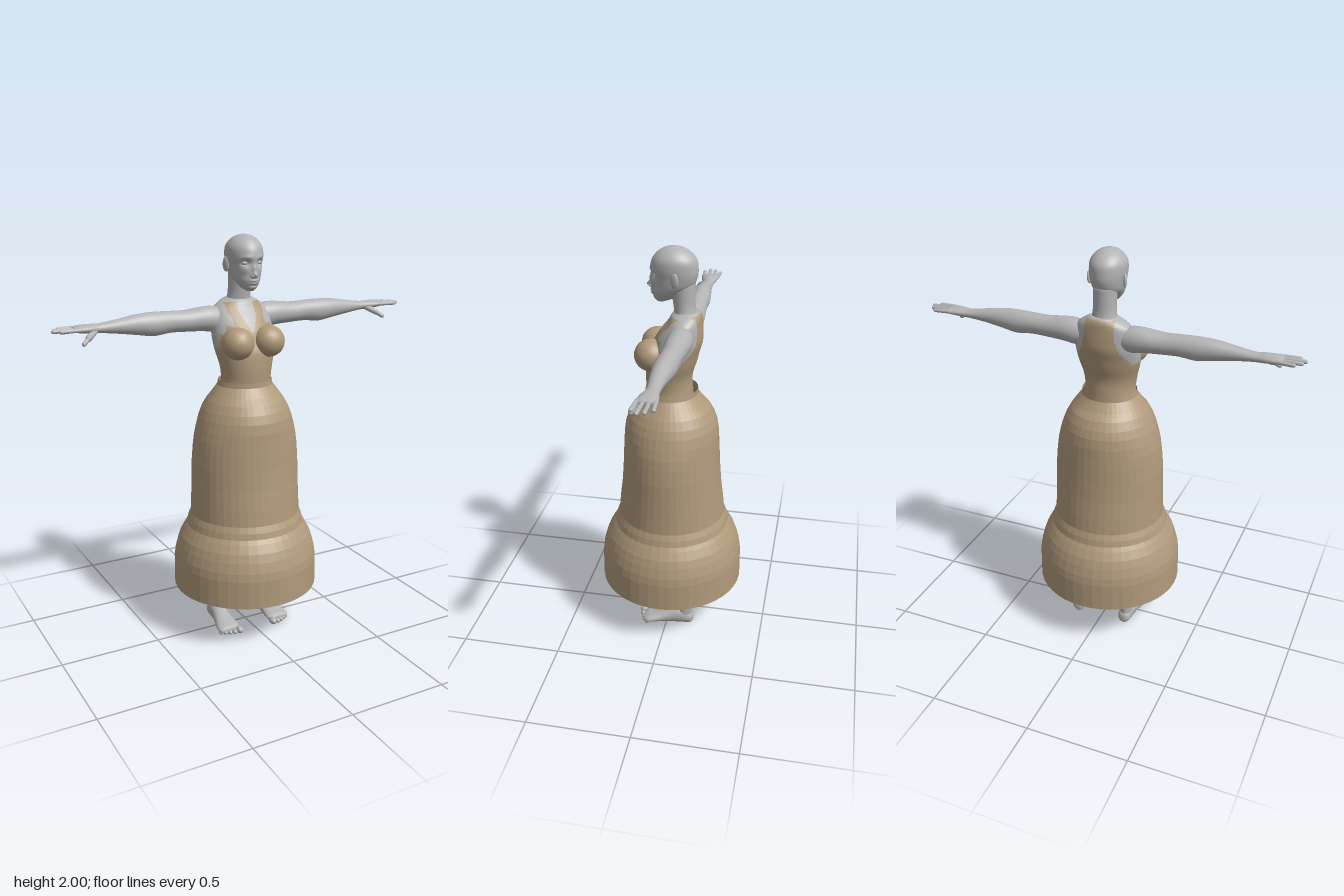
import * as THREE from 'three';

const skin = new THREE.MeshStandardMaterial({ color: 0xb4b4b4 });
skin.name = 'skin grey';
const cloth = new THREE.MeshStandardMaterial({ color: 0xb09a7b, side: THREE.DoubleSide });
cloth.name = 'dress tan';

// Elliptical rings along an axis; row = [t, centreA, centreB, radiusA, radiusB].
// Axis order: y uses (z, x), x uses (y, z), z uses (x, y).
function loft(axis, rows, { n = 32, sub = 5, caps = true, shape } = {}) {
  const place = {
    y: (t, a, b) => new THREE.Vector3(b, t, a),
    x: (t, a, b) => new THREE.Vector3(t, a, b),
    z: (t, a, b) => new THREE.Vector3(a, b, t),
  }[axis];
  const at = (i) => rows[Math.min(Math.max(i, 0), rows.length - 1)];
  const rings = [];
  for (let i = 0; i < rows.length - 1; i++) {
    for (let s = 0; s < sub; s++) {
      const f = s / sub;
      rings.push(at(i).map((p1, k) => {
        const p0 = at(i - 1)[k], p2 = at(i + 1)[k], p3 = at(i + 2)[k];
        return p1 + 0.5 * f * (p2 - p0 + f * (2 * p0 - 5 * p1 + 4 * p2 - p3 + f * (3 * (p1 - p2) + p3 - p0)));
      }));
    }
  }
  rings.push(at(rows.length - 1));
  const pos = [], index = [];
  const put = (v) => { if (shape) shape(v); pos.push(v.x, v.y, v.z); };
  rings.forEach(([t, a, b, ra, rb], j) => {
    for (let i = 0; i < n; i++) {
      const q = (i / n) * Math.PI * 2;
      put(place(t, a + ra * Math.cos(q), b + rb * Math.sin(q)));
      if (j === 0) continue;
      const k = (i + 1) % n, lo = (j - 1) * n, hi = j * n;
      index.push(lo + i, lo + k, hi + k, lo + i, hi + k, hi + i);
    }
  });
  if (caps) {
    const last = rings.length - 1, c = rings.length * n;
    put(place(...rings[0].slice(0, 3)));
    put(place(...rings[last].slice(0, 3)));
    for (let i = 0; i < n; i++) {
      const k = (i + 1) % n;
      index.push(c, k, i, c + 1, last * n + i, last * n + k);
    }
  }
  const g = new THREE.BufferGeometry();
  g.setAttribute('position', new THREE.Float32BufferAttribute(pos, 3));
  g.setIndex(index);
  g.computeVertexNormals();
  return g;
}

// Sorts faces into two material groups: 0 where test is true, 1 elsewhere
function splitFaces(g, test) {
  const p = g.attributes.position, idx = g.index.array, parts = [[], []];
  for (let i = 0; i < idx.length; i += 3) {
    const f = [idx[i], idx[i + 1], idx[i + 2]];
    const mid = (get) => f.reduce((s, v) => s + p[get](v), 0) / 3;
    parts[test(mid('getX'), mid('getY'), mid('getZ')) ? 0 : 1].push(...f);
  }
  g.setIndex([...parts[0], ...parts[1]]);
  g.addGroup(0, parts[0].length, 0);
  g.addGroup(parts[0].length, parts[1].length, 1);
  return g;
}

function mirrorX(g) {
  const m = g.clone().scale(-1, 1, 1), a = m.index.array;
  for (let i = 0; i < a.length; i += 3) [a[i], a[i + 1]] = [a[i + 1], a[i]];
  m.computeVertexNormals();
  return m;
}

const ball = (x, y, z, rx, ry, rz) =>
  new THREE.SphereGeometry(1, 28, 18).scale(rx, ry, rz).translate(x, y, z);

// Rounded rod between two points
function rod(from, to, r) {
  const a = new THREE.Vector3(...from), b = new THREE.Vector3(...to), d = b.clone().sub(a);
  const turn = new THREE.Quaternion().setFromUnitVectors(new THREE.Vector3(0, 1, 0), d.clone().normalize());
  const mid = a.add(b).multiplyScalar(0.5);
  return new THREE.CapsuleGeometry(r, d.length(), 5, 12).applyQuaternion(turn).translate(mid.x, mid.y, mid.z);
}

// Facial relief as soft bumps: [x, y, width, height, push]
const relief = [
  [0, 1.818, 0.011, 0.012, 0.022], [0, 1.845, 0.010, 0.022, 0.011],
  [0.036, 1.873, 0.018, 0.013, -0.016], [0.035, 1.9, 0.022, 0.008, 0.004],
  [0, 1.792, 0.018, 0.005, 0.008], [0, 1.779, 0.015, 0.005, 0.007],
  [0, 1.768, 0.02, 0.005, -0.005], [0.04, 1.84, 0.016, 0.016, 0.004],
];
function face(v) {
  if (v.z < 0.02) return;
  const ax = Math.abs(v.x), y = v.y;
  for (const [x, cy, w, h, push] of relief)
    v.z += push * Math.exp(-(((ax - x) / w) ** 2) - ((y - cy) / h) ** 2);
}

// Bodice outline: waist band, open neck with straps, tapering back panel
function isBodice(x, y, z) {
  const ax = Math.abs(x);
  if (y < 1.2) return false;
  if (y < 1.47) return true;
  if (z < -0.07) return y < 1.692 && ax < 0.072 + 0.08 * ((1.7 - y) / 0.23) ** 3;
  if (z < -0.045) return false;
  if (y < 1.54) return z > 0.02;
  const inner = Math.min(0.042, (y - 1.54) * 0.5);
  const outer = y < 1.58 ? 0.12 : y < 1.63 ? 0.085 : 0.095;
  return y < 1.682 && ax > inner && ax < outer;
}

export function createModel() {
  const model = new THREE.Group();
  const add = (name, g, mat) => {
    const m = new THREE.Mesh(g, mat);
    m.name = name;
    model.add(m);
  };
  const pair = (name, g, mat) => {
    add('left ' + name, g, mat);
    add('right ' + name, mirrorX(g), mat);
  };

  // Torso with the bodice as separate faces
  const torso = loft('y', [
    [0.88, -0.03, 0, 0.07, 0.1], [0.95, -0.025, 0, 0.11, 0.16], [1.08, -0.01, 0, 0.125, 0.175],
    [1.2, 0, 0, 0.112, 0.145], [1.31, 0.01, 0, 0.112, 0.125], [1.38, 0.012, 0, 0.112, 0.132],
    [1.45, 0, 0, 0.12, 0.15], [1.5, -0.015, 0, 0.117, 0.157], [1.55, -0.03, 0, 0.116, 0.157],
    [1.6, -0.045, 0, 0.102, 0.152], [1.65, -0.063, 0, 0.081, 0.135], [1.68, -0.07, 0, 0.071, 0.1],
    [1.7, -0.075, 0, 0.055, 0.06],
  ], { n: 96, sub: 8 });
  add('torso and bodice', splitFaces(torso, isBodice), [cloth, skin]);
  pair('bust cup', ball(0.083, 1.5, 0.085, 0.079, 0.077, 0.079), cloth);

  // Skirt, faceted and open at both ends
  const skirt = loft('y', [
    [0.24, 0.362, 0.365], [0.38, 0.361, 0.364], [0.42, 0.356, 0.359], [0.47, 0.343, 0.346],
    [0.51, 0.328, 0.332], [0.55, 0.305, 0.31], [0.57, 0.29, 0.298], [0.6, 0.283, 0.29],
    [0.63, 0.27, 0.278], [0.7, 0.263, 0.275], [0.8, 0.25, 0.273], [0.9, 0.242, 0.272],
    [0.98, 0.238, 0.265], [1.03, 0.235, 0.258], [1.08, 0.233, 0.246], [1.13, 0.226, 0.231],
    [1.17, 0.212, 0.215], [1.21, 0.19, 0.193], [1.24, 0.16, 0.172], [1.27, 0.138, 0.15],
    [1.285, 0.128, 0.138], [1.31, 0.127, 0.132],
  ].map(([y, rz, rx]) => [y, 0, 0, rz, rx]), { n: 44, sub: 1, caps: false }).toNonIndexed();
  skirt.computeVertexNormals();
  add('skirt', skirt, cloth);

  // Neck and head
  add('neck', loft('y', [
    [1.6, -0.07, 0, 0.06, 0.085], [1.665, -0.066, 0, 0.057, 0.075], [1.69, -0.064, 0, 0.052, 0.062],
    [1.74, -0.058, 0, 0.052, 0.055], [1.84, -0.05, 0, 0.06, 0.056],
  ]), skin);
  add('head', loft('y', [
    [1.742, 0.05, 0, 0.02, 0.02], [1.76, 0.035, 0, 0.051, 0.04], [1.79, 0.02, 0, 0.073, 0.06],
    [1.82, -0.003, 0, 0.097, 0.072], [1.86, -0.012, 0, 0.107, 0.08], [1.9, -0.011, 0, 0.111, 0.086],
    [1.94, -0.012, 0, 0.103, 0.084], [1.97, -0.011, 0, 0.079, 0.067], [1.99, -0.009, 0, 0.047, 0.041],
    [2, -0.008, 0, 0.008, 0.007],
  ], { n: 72, sub: 8, shape: face }), skin);
  pair('eyelid', ball(0.036, 1.873, 0.066, 0.017, 0.011, 0.014), skin);
  pair('nostril', ball(0.009, 1.814, 0.098, 0.008, 0.007, 0.01), skin);
  pair('ear', ball(0, 0, 0, 0.009, 0.035, 0.02).rotateY(-0.3).translate(0.086, 1.862, -0.027), skin);

  // Arms, palms and fingers
  pair('arm', loft('x', [
    [0.08, 1.6, -0.065, 0.05, 0.05], [0.14, 1.602, -0.065, 0.062, 0.06], [0.2, 1.606, -0.065, 0.058, 0.06],
    [0.29, 1.604, -0.063, 0.051, 0.053], [0.37, 1.606, -0.062, 0.051, 0.05], [0.45, 1.603, -0.06, 0.056, 0.051],
    [0.53, 1.607, -0.058, 0.048, 0.046], [0.62, 1.607, -0.057, 0.034, 0.036], [0.71, 1.606, -0.06, 0.022, 0.03],
    [0.76, 1.608, -0.058, 0.021, 0.039], [0.81, 1.61, -0.058, 0.017, 0.046], [0.838, 1.61, -0.058, 0.01, 0.043],
  ]), skin);
  [[-0.02, -0.014, 0.9, 'index'], [-0.045, -0.041, 0.928, 'middle'],
    [-0.07, -0.07, 0.916, 'ring'], [-0.094, -0.1, 0.888, 'little']].forEach(([z0, z1, x, name]) =>
    pair(name + ' finger', rod([0.81, 1.611, z0], [x, 1.61, z1], 0.0095), skin));
  pair('thumb base', rod([0.735, 1.6, -0.045], [0.78, 1.573, -0.008], 0.015), skin);
  pair('thumb', rod([0.775, 1.576, -0.01], [0.808, 1.553, 0.01], 0.0105), skin);

  // Legs and bare feet
  pair('leg', loft('y', [
    [0.04, -0.095, 0.134, 0.038, 0.032], [0.1, -0.094, 0.135, 0.042, 0.031], [0.24, -0.098, 0.133, 0.047, 0.042],
    [0.38, -0.09, 0.13, 0.06, 0.055], [0.52, -0.07, 0.12, 0.054, 0.051], [0.7, -0.05, 0.11, 0.07, 0.07],
    [0.9, -0.03, 0.094, 0.09, 0.087], [1.05, -0.02, 0.085, 0.08, 0.075],
  ]), skin);
  pair('foot', loft('z', [
    [-0.141, 0.132, 0.034, 0.012, 0.016], [-0.125, 0.132, 0.038, 0.031, 0.036], [-0.07, 0.134, 0.048, 0.039, 0.05],
    [-0.03, 0.135, 0.044, 0.042, 0.046], [0.02, 0.138, 0.034, 0.049, 0.035], [0.07, 0.142, 0.026, 0.058, 0.026],
    [0.1, 0.143, 0.022, 0.058, 0.021], [0.12, 0.143, 0.02, 0.045, 0.012],
  ], { shape: (v) => { v.y = Math.max(v.y, 0.002); } }), skin);
  [[0.099, 0.128, 0.018], [0.127, 0.128, 0.013], [0.15, 0.12, 0.012], [0.171, 0.11, 0.012], [0.19, 0.098, 0.011]]
    .forEach(([x, z, r], i) => pair('toe ' + (i + 1), ball(x, r + 0.001, z, r, r, r * 1.4), skin));

  return model;
}
